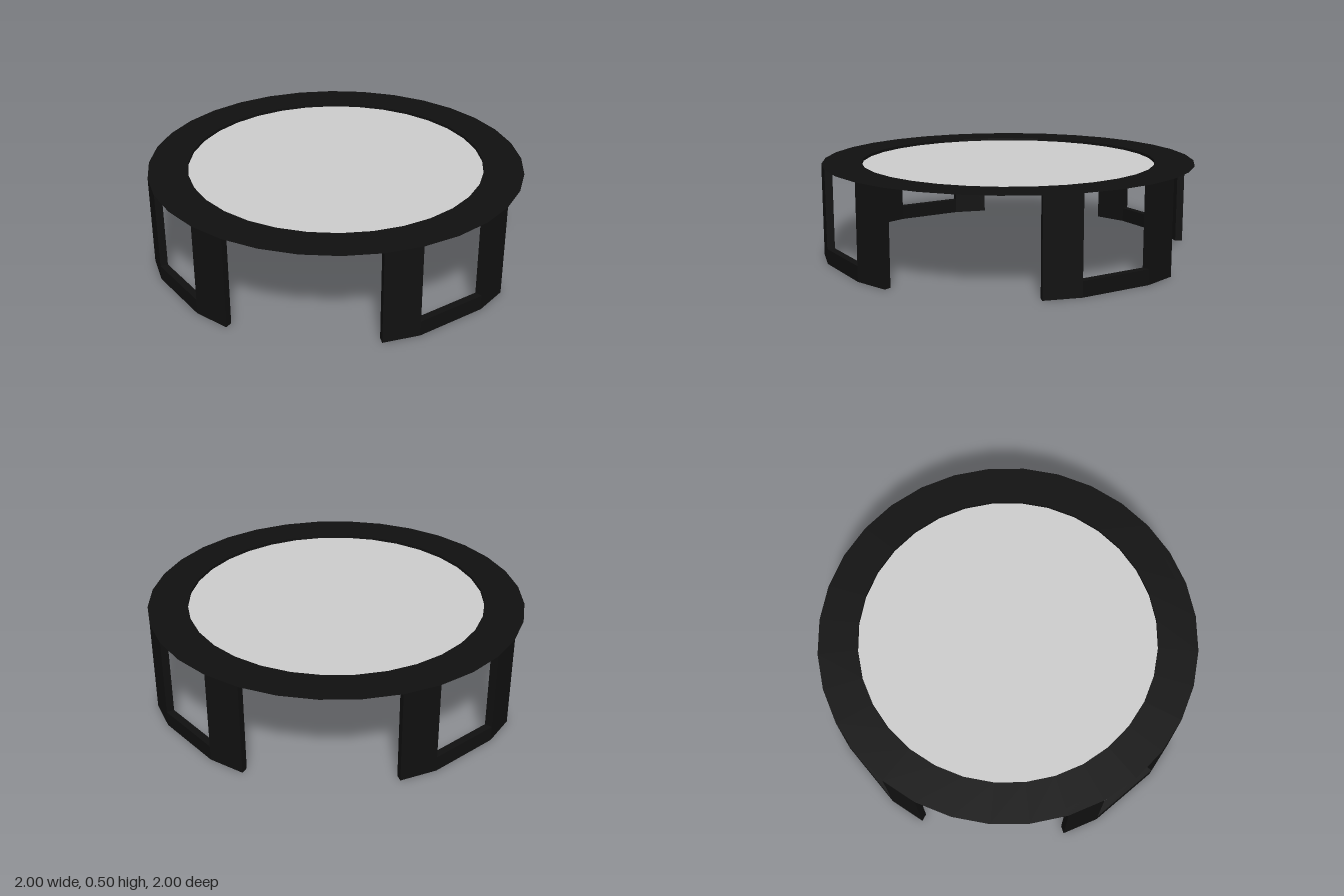
import * as THREE from 'three';

const TOP = 0.495, LIP = 0.015, SILL = 0.08;
const R_OUT = 1, R_IN = 0.96, R_PANEL = 0.79;
const SIDES = 32, STEP = (Math.PI * 2) / SIDES;

const black = new THREE.MeshStandardMaterial({ color: 0x101010, flatShading: true, side: THREE.DoubleSide });
const grey = new THREE.MeshStandardMaterial({ color: 0xcccccc, flatShading: true, side: THREE.DoubleSide });

function part(name, geometry, material) {
  const mesh = new THREE.Mesh(geometry, material);
  mesh.name = name;
  return mesh;
}

// Straight block between two angles of the rim (0 faces the front), standing on the ground
function rimBlock(from, to, height) {
  const at = (r, a) => new THREE.Vector2(r * Math.sin(a), -r * Math.cos(a));
  const plan = new THREE.Shape([at(R_OUT, from), at(R_OUT, to), at(R_IN, to), at(R_IN, from)]);
  return new THREE.ExtrudeGeometry(plan, { depth: height, bevelEnabled: false }).rotateX(-Math.PI / 2);
}

// U-shaped leg: two posts joined by a low sill
function makeLeg(name) {
  const leg = new THREE.Group();
  leg.name = name;
  leg.add(
    part('leftPost', rimBlock(STEP, 2 * STEP, TOP), black),
    part('rightPost', rimBlock(-2 * STEP, -STEP, TOP), black),
    part('sill', rimBlock(-STEP, STEP, SILL), black)
  );
  return leg;
}

export function createModel() {
  const model = new THREE.Group();
  model.name = 'roundTable';

  // Flat rim
  const rim = new THREE.RingGeometry(R_PANEL, R_OUT, SIDES).rotateX(-Math.PI / 2).translate(0, TOP, 0);
  model.add(part('rim', rim, black));

  // Short wall down to the recessed panel
  const lip = new THREE.CylinderGeometry(R_PANEL, R_PANEL, LIP, SIDES, 1, true).translate(0, TOP - LIP / 2, 0);
  model.add(part('lip', lip, black));

  // Recessed panel
  const panel = new THREE.CircleGeometry(R_PANEL, SIDES).rotateX(-Math.PI / 2).translate(0, TOP - LIP, 0);
  model.add(part('panel', panel, grey));

  // Four legs, one per side
  ['frontLeg', 'leftLeg', 'backLeg', 'rightLeg'].forEach((name, i) => {
    const leg = makeLeg(name);
    leg.rotation.y = (i * Math.PI) / 2;
    model.add(leg);
  });
  return model;
}
